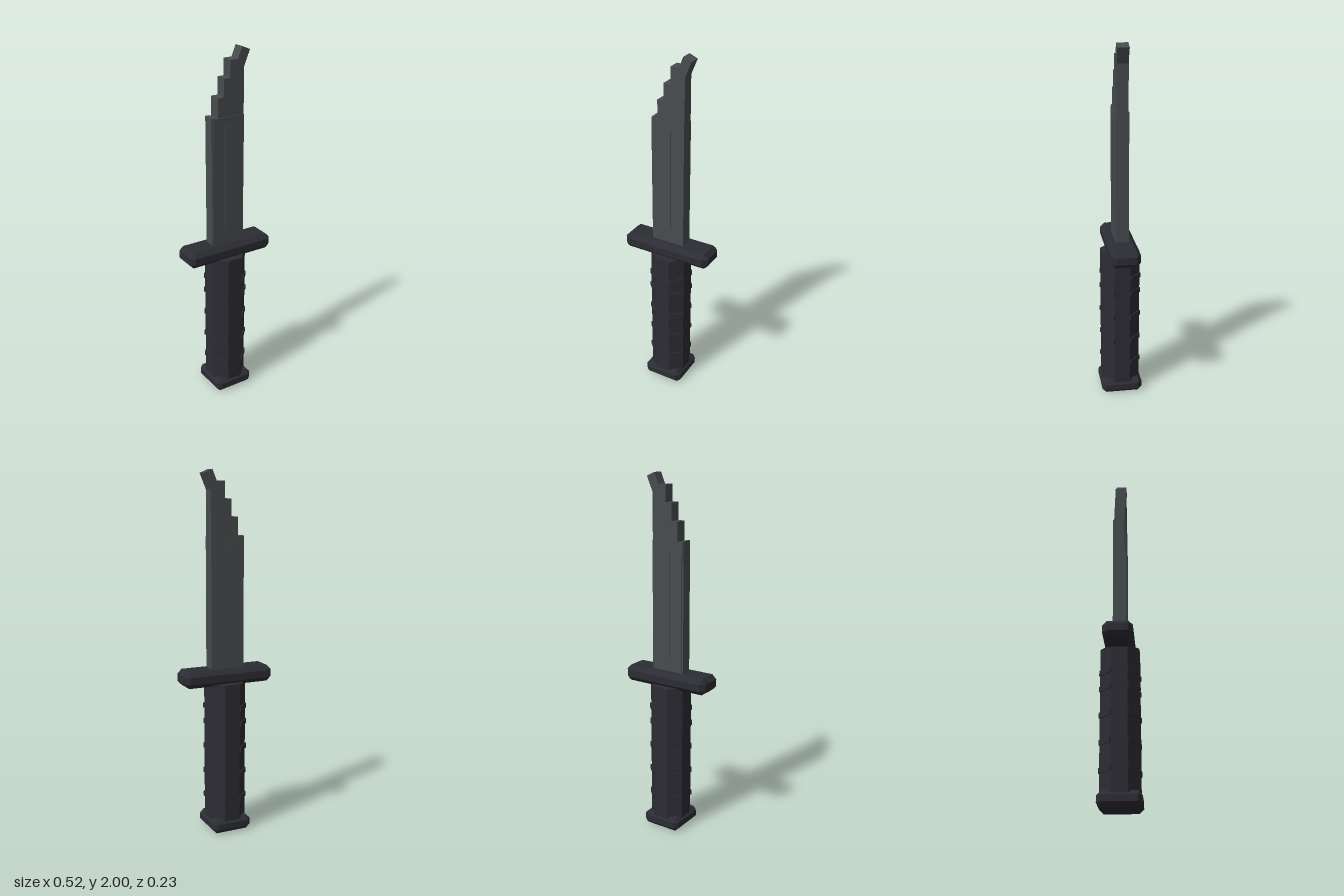
import * as THREE from 'three';
import { ConvexGeometry } from 'three/addons/geometries/ConvexGeometry.js';

// Box given by half sizes hx, hy, hz with every edge chamfered by c
function chamferedBox(hx, hy, hz, c) {
  const points = [];
  for (const sx of [-1, 1]) for (const sy of [-1, 1]) for (const sz of [-1, 1]) {
    points.push(
      new THREE.Vector3(sx * hx, sy * (hy - c), sz * (hz - c)),
      new THREE.Vector3(sx * (hx - c), sy * hy, sz * (hz - c)),
      new THREE.Vector3(sx * (hx - c), sy * (hy - c), sz * hz)
    );
  }
  return new ConvexGeometry(points);
}

export function createModel() {
  const model = new THREE.Group();
  model.name = 'knife';
  const steel = new THREE.MeshStandardMaterial({ color: 0x484c4f, flatShading: true });
  steel.name = 'dark steel';
  const grip = new THREE.MeshStandardMaterial({ color: 0x2c2c34, flatShading: true });
  grip.name = 'black grip';

  const add = (name, geometry, material, x, y, z, parent = model) => {
    const mesh = new THREE.Mesh(geometry, material);
    mesh.name = name;
    mesh.position.set(x, y, z);
    parent.add(mesh);
    return mesh;
  };

  // Pommel, octagonal handle and crossguard
  add('pommel', chamferedBox(0.115, 0.04, 0.115, 0.023), grip, 0, 0.04, 0);
  const handle = new THREE.CylinderGeometry(0.114, 0.114, 0.8, 8);
  handle.rotateY(Math.PI / 8);
  add('handle', handle, grip, 0, 0.455, 0);
  add('crossguard', chamferedBox(0.26, 0.045, 0.08, 0.025), grip, 0, 0.89, 0);

  // Raised grip ridges on the four diagonal facets
  const ridges = new THREE.Group();
  ridges.name = 'gripRidges';
  model.add(ridges);
  for (const y of [0.19, 0.335, 0.48, 0.625, 0.715]) {
    for (let i = 0; i < 4; i++) {
      const a = Math.PI / 4 + (i * Math.PI) / 2;
      const ridge = add('gripRidge', new THREE.BoxGeometry(0.0875, 0.028, 0.03), grip,
        Math.sin(a) * 0.0968, y, Math.cos(a) * 0.0968, ridges);
      ridge.rotation.y = a;
    }
  }

  // Blade slabs: name, left x, right x, bottom y, top y, half depth
  const blade = new THREE.Group();
  blade.name = 'blade';
  model.add(blade);
  const slabs = [
    ['cuttingEdge', -0.1, -0.08, 0.92, 1.655, 0.031],
    ['bladeBody', -0.092, 0.06, 0.92, 1.65, 0.036],
    ['spine', 0.055, 0.095, 0.92, 1.65, 0.036],
    ['centreRidge', -0.019, 0.019, 1.02, 1.6, 0.041],
    ['upperBlade', -0.063, 0.095, 1.64, 1.755, 0.032],
    ['upperBlade', -0.025, 0.095, 1.75, 1.85, 0.032],
    ['upperBlade', 0.013, 0.095, 1.84, 1.905, 0.032],
    ['upperBlade', 0.013, 0.062, 1.9, 1.94, 0.032]
  ];
  for (const [name, x0, x1, y0, y1, d] of slabs) {
    add(name, new THREE.BoxGeometry(x1 - x0, y1 - y0, 2 * d), steel,
      (x0 + x1) / 2, (y0 + y1) / 2, 0, blade);
  }

  // Tilted tip
  const tip = add('tip', new THREE.BoxGeometry(0.05, 0.12, 0.062), steel, 0.084, 1.935, 0, blade);
  tip.rotation.z = -0.4;

  return model;
}
